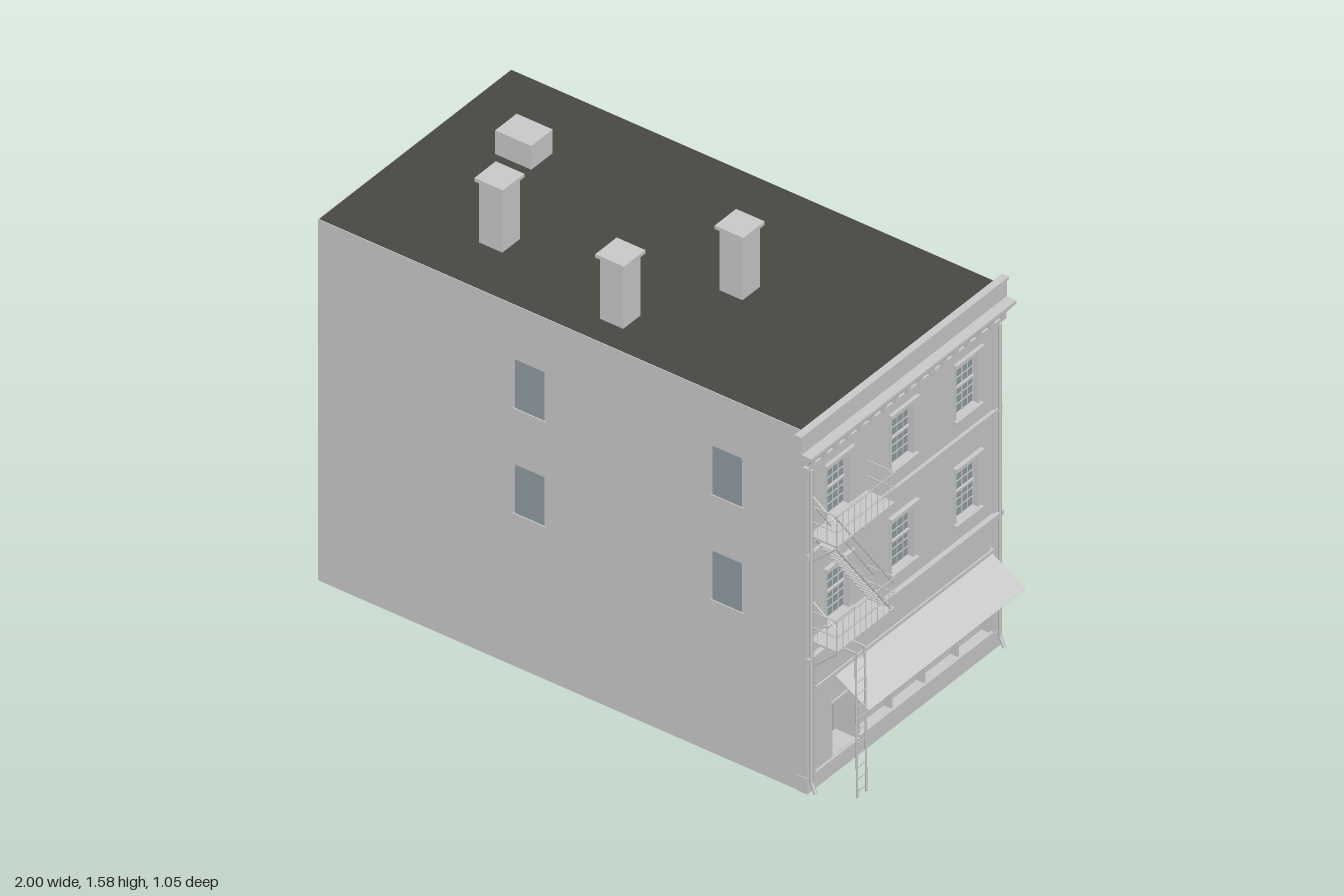
import * as THREE from 'three';

const mat = (name, color) => Object.assign(new THREE.MeshStandardMaterial({ color }), { name });

export function createModel() {
  const stone = mat('pale grey stone', 0xcacaca);
  const glass = mat('blue grey glass', 0x909da3);
  const tar = mat('dark roof tar', 0x494943);
  const root = new THREE.Group();
  root.name = 'townhouse';

  const group = (name) => {
    const g = new THREE.Group();
    g.name = name;
    root.add(g);
    return g;
  };
  const add = (parent, name, geo, m = stone) => {
    const mesh = new THREE.Mesh(geo, m);
    mesh.name = name;
    parent.add(mesh);
    return mesh;
  };
  // box given by its limits on each axis
  const box = (parent, name, x0, x1, y0, y1, z0, z1, m = stone) => {
    const mesh = add(parent, name, new THREE.BoxGeometry(x1 - x0, y1 - y0, z1 - z0), m);
    mesh.position.set((x0 + x1) / 2, (y0 + y1) / 2, (z0 + z1) / 2);
    return mesh;
  };
  // round bar between two points
  const bar = (parent, name, a, b, r = 0.0025, sides = 6) => {
    const p = new THREE.Vector3(...a), q = new THREE.Vector3(...b);
    const mesh = add(parent, name, new THREE.CylinderGeometry(r, r, p.distanceTo(q), sides));
    mesh.position.copy(p).add(q).multiplyScalar(0.5);
    mesh.quaternion.setFromUnitVectors(new THREE.Vector3(0, 1, 0), q.sub(p).normalize());
    return mesh;
  };
  // profile in x and y, swept along z
  const sweep = (parent, name, pts, z0, z1) => {
    const shape = new THREE.Shape(pts.map(([x, y]) => new THREE.Vector2(x, y)));
    const mesh = add(parent, name, new THREE.ExtrudeGeometry(shape, { depth: z1 - z0, bevelEnabled: false }));
    mesh.position.z = z0;
    return mesh;
  };

  // hollow shell, open underneath behind the shop floor
  const shell = group('shell');
  for (const s of [-1, 1]) {
    box(shell, 'sideWall', -1, 0.835, 0, 1.34, s * 0.48 - 0.005, s * 0.48 + 0.005);
  }
  box(shell, 'backWall', -1, -0.99, 0, 1.34, -0.475, 0.475);
  box(shell, 'roof', -0.996, 0.826, 1.325, 1.342, -0.482, 0.482, tar);
  box(shell, 'shopFloor', 0.07, 0.835, 0.001, 0.01, -0.475, 0.475);

  // street wall with openings
  const F = 0.84;
  const windowZ = [-0.325, 0, 0.325], windowY = [0.57, 0.955];
  const facade = group('facade');
  const rect = (C, z0, z1, y0, y1) => new C([[-z1, y0], [-z0, y0], [-z0, y1], [-z1, y1]]
    .map(([u, v]) => new THREE.Vector2(u, v)));
  const front = rect(THREE.Shape, -0.485, 0.485, 0, 1.34);
  for (const y of windowY) {
    for (const z of windowZ) front.holes.push(rect(THREE.Path, z - 0.058, z + 0.058, y, y + 0.195));
  }
  front.holes.push(rect(THREE.Path, -0.44, 0.22, 0.07, 0.26), rect(THREE.Path, 0.23, 0.35, 0.06, 0.26));
  const wall = add(facade, 'frontWall', new THREE.ExtrudeGeometry(front, { depth: 0.03, bevelEnabled: false }));
  wall.rotation.y = Math.PI / 2;
  wall.position.x = F - 0.03;

  // sash windows
  for (const y of windowY) {
    for (const z of windowZ) {
      const w = group('frontWindow');
      w.position.set(F, y, z);
      box(w, 'pane', -0.026, -0.02, 0, 0.195, -0.058, 0.058, glass);
      for (const s of [-1, 1]) box(w, 'jamb', -0.02, 0.003, 0, 0.195, s * 0.058 - 0.004, s * 0.058 + 0.004);
      for (const v of [0.032, 0.064, 0.13, 0.162]) box(w, 'glazingBar', -0.02, -0.017, v - 0.001, v + 0.001, -0.055, 0.055);
      box(w, 'meetingRail', -0.02, -0.012, 0.093, 0.1, -0.055, 0.055);
      for (const u of [-0.029, 0, 0.029]) box(w, 'glazingBar', -0.02, -0.017, 0, 0.195, u - 0.001, u + 0.001);
      box(w, 'lintel', -0.005, 0.012, 0.193, 0.206, -0.066, 0.066);
      box(w, 'lintelCap', -0.005, 0.016, 0.206, 0.212, -0.071, 0.071);
      box(w, 'sill', -0.02, 0.015, -0.014, 0, -0.068, 0.068);
    }
  }

  // side windows
  for (const s of [-1, 1]) {
    for (const x of [-0.2, 0.545]) {
      for (const y of [0.57, 0.96]) {
        const g = group('sideWindow');
        box(g, 'pane', x - 0.056, x + 0.056, y, y + 0.18, s * 0.485 - 0.001, s * 0.485 + 0.001, glass);
        box(g, 'sill', x - 0.062, x + 0.062, y - 0.008, y, s * 0.486 - 0.004, s * 0.486 + 0.004);
      }
    }
  }

  // bands, corner strips and plinth
  box(facade, 'upperBand', F, F + 0.012, 0.872, 0.886, -0.488, 0.488);
  box(facade, 'lowerBand', F, F + 0.018, 0.487, 0.502, -0.488, 0.488);
  box(facade, 'plinth', F - 0.03, F + 0.008, 0, 0.058, -0.488, 0.488);
  for (const s of [-1, 1]) {
    box(facade, 'cornerStrip', F, F + 0.006, 0.058, 1.18, s * 0.47 - 0.015, s * 0.47 + 0.015);
    bar(facade, 'downspout', [F + 0.014, 0.04, s * 0.474], [F + 0.014, 1.2, s * 0.474], 0.006, 8);
    bar(facade, 'downspoutFoot', [F + 0.014, 0.042, s * 0.474], [F + 0.03, 0.004, s * 0.474], 0.006, 8);
  }

  // parapet and cornice
  const cornice = group('cornice');
  box(cornice, 'parapet', 0.828, 0.848, 1.27, 1.337, -0.518, 0.518);
  box(cornice, 'parapetCap', 0.826, 0.852, 1.337, 1.346, -0.523, 0.523);
  sweep(cornice, 'crown', [[0.83, 1.245], [0.87, 1.245], [0.878, 1.262], [0.885, 1.264], [0.885, 1.276], [0.83, 1.276]], -0.515, 0.515);
  for (let i = 0; i < 17; i++) {
    const z = -0.48 + i * 0.06;
    box(cornice, 'bracket', F, 0.868, 1.218, 1.246, z - 0.008, z + 0.008);
  }
  box(cornice, 'frieze', F, F + 0.01, 1.175, 1.245, -0.488, 0.488);
  box(cornice, 'friezeBand', F, F + 0.018, 1.206, 1.219, -0.5, 0.5);

  // shopfront with recessed door
  const shop = group('shopfront');
  box(shop, 'displayPanel', 0.808, 0.815, 0.07, 0.26, -0.44, 0.22);
  for (const z of [-0.437, -0.28, -0.11, 0.055, 0.217]) {
    box(shop, 'mullion', 0.813, F + 0.003, 0.07, 0.26, z - 0.003, z + 0.003);
  }
  box(shop, 'displaySill', 0.81, F + 0.012, 0.062, 0.071, -0.445, 0.225);
  box(shop, 'transom', F, F + 0.006, 0.258, 0.266, -0.445, 0.36);
  box(shop, 'signPanel', F, F + 0.008, 0.38, 0.487, -0.435, 0.445);
  box(shop, 'signRail', F, F + 0.014, 0.368, 0.38, -0.447, 0.447);
  for (const z of [-0.449, 0.449]) box(shop, 'pier', F, F + 0.008, 0.058, 0.368, z - 0.004, z + 0.004);
  for (const z of [0.227, 0.353]) box(shop, 'alcoveSide', 0.75, 0.82, 0, 0.26, z - 0.003, z + 0.003);
  box(shop, 'alcoveCeiling', 0.75, 0.82, 0.26, 0.266, 0.224, 0.356);
  box(shop, 'doorStep', 0.75, F, -0.0, 0.06, 0.23, 0.35);
  box(shop, 'door', 0.75, 0.76, 0.06, 0.26, 0.23, 0.35);
  box(shop, 'doorPane', 0.76, 0.763, 0.062, 0.242, 0.243, 0.34, glass);
  box(shop, 'doorHandle', 0.763, 0.769, 0.112, 0.128, 0.293, 0.297);
  sweep(shop, 'awning', [[F, 0.366], [0.975, 0.285], [0.978, 0.289], [F, 0.372]], -0.44, 0.35);

  // rooftop
  const rooftop = group('rooftop');
  for (const [x, z] of [[0.235, 0.01], [-0.493, 0.248], [0.036, 0.345]]) {
    box(rooftop, 'chimney', x - 0.044, x + 0.044, 1.33, 1.57, z - 0.044, z + 0.044);
    box(rooftop, 'chimneyCap', x - 0.054, x + 0.054, 1.57, 1.583, z - 0.054, z + 0.054);
  }
  box(rooftop, 'roofHatch', -0.773, -0.637, 1.33, 1.43, -0.212, -0.104);

  // fire escape balconies
  const escape = group('fireEscape');
  const X0 = 0.842, X1 = 0.948, Z0 = 0.18, Z1 = 0.47;
  for (const y of [0.555, 0.945]) {
    box(escape, 'platform', X0, X1, y, y + 0.007, Z0, Z1);
    for (const h of [0.06, 0.118]) {
      bar(escape, 'rail', [X1, y + h, Z0], [X1, y + h, Z1]);
      for (const z of [Z0, Z1]) bar(escape, 'endRail', [X0, y + h, z], [X1, y + h, z]);
    }
    for (let i = 0; i <= 10; i++) {
      const z = Z0 + (Z1 - Z0) * i / 10;
      bar(escape, 'baluster', [X1, y, z], [X1, y + 0.118, z], 0.0015, 4);
    }
    for (const z of [Z0, Z1]) {
      for (const x of [0.875, 0.91]) bar(escape, 'endBaluster', [x, y, z], [x, y + 0.118, z], 0.0015, 4);
      bar(escape, 'brace', [X1, y, z], [X0, y - 0.1, z]);
    }
    bar(escape, 'tieRod', [X1, y + 0.09, Z1], [X0, y + 0.165, Z1]);
    bar(escape, 'middleBrace', [X1, y, 0.33], [X0, y - 0.1, 0.33]);
  }

  // stair between balconies
  for (const x of [0.868, 0.94]) {
    bar(escape, 'stringer', [x, 0.945, Z1], [x, 0.56, 0.19], 0.004);
    bar(escape, 'handrail', [x, 1.06, Z1], [x, 0.65, Z0]);
  }
  for (let i = 1; i < 15; i++) {
    const t = i / 15, y = 0.945 - 0.385 * t, z = 0.47 - 0.28 * t;
    box(escape, 'tread', 0.868, 0.94, y - 0.002, y + 0.002, z - 0.009, z + 0.009);
  }

  // drop ladder
  for (const z of [0.387, 0.433]) {
    bar(escape, 'ladderRail', [0.996, 0.02, z], [0.99, 0.555, z], 0.0035);
    bar(escape, 'ladderHook', [X1, 0.555, z], [0.99, 0.555, z], 0.0035);
  }
  for (let y = 0.04; y < 0.55; y += 0.045) bar(escape, 'rung', [0.994, y, 0.387], [0.994, y, 0.433], 0.002);

  return root;
}
